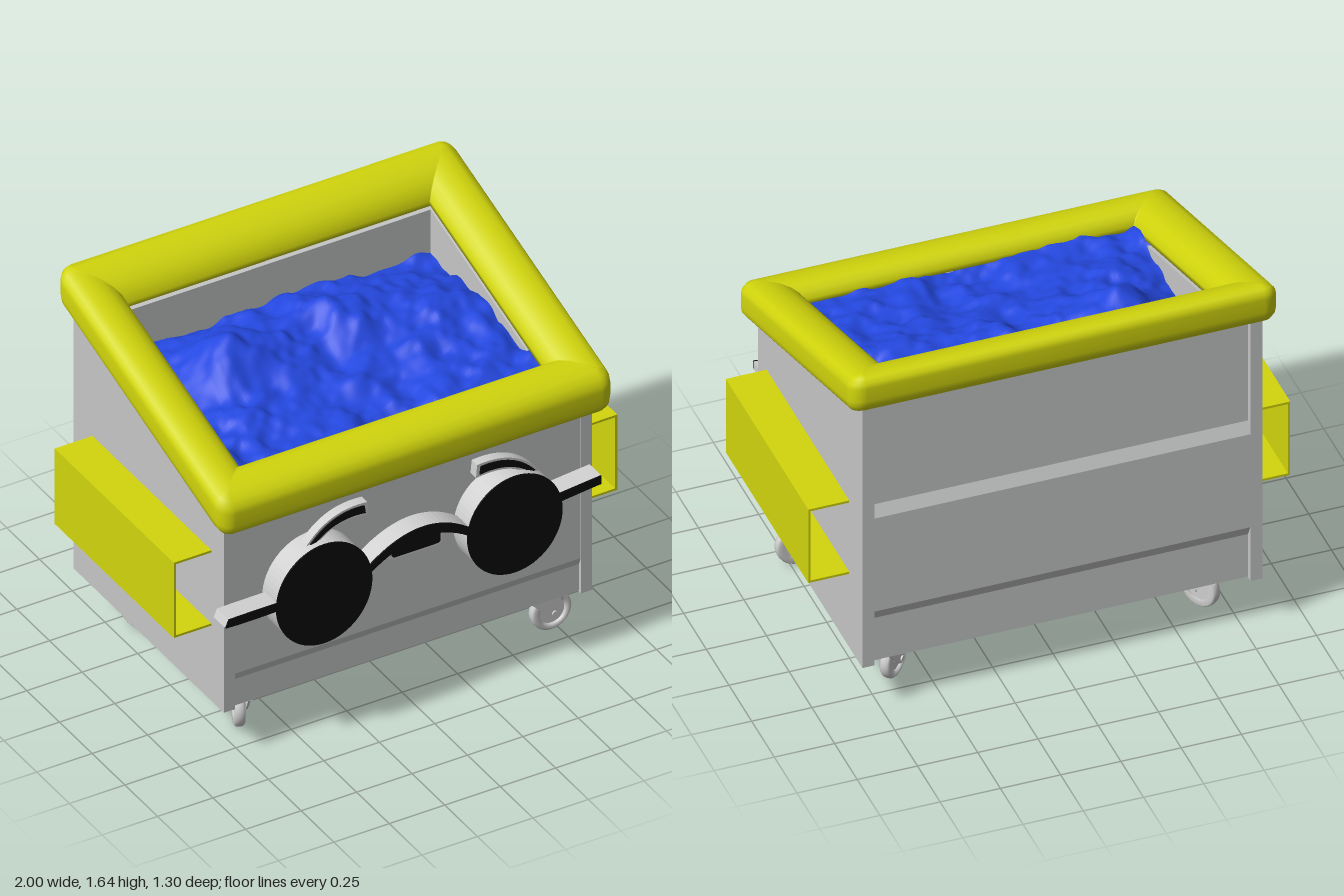
import * as THREE from 'three';

const mat = (name, color, side = THREE.FrontSide) => {
  const m = new THREE.MeshStandardMaterial({ color, side });
  m.name = name;
  return m;
};

// Height of the slanted opening at depth z
const slant = (z) => 1.368 - 0.309 * z;

// Extrude a [z, y] outline from x0 to x1
function extrudeX(points, x0, x1) {
  const shape = new THREE.Shape(points.map(([z, y]) => new THREE.Vector2(-z, y)));
  const g = new THREE.ExtrudeGeometry(shape, { depth: x1 - x0, bevelEnabled: false });
  return g.rotateY(Math.PI / 2).translate(x0, 0, 0);
}

// Extrude an [x, y] shape from z0 to z1
const extrudeZ = (shape, z0, z1) =>
  new THREE.ExtrudeGeometry(shape, { depth: z1 - z0, bevelEnabled: false, curveSegments: 20 }).translate(0, 0, z0);

// Curved band between an upper and a lower quadratic curve
function band(a, topMid, b, c, lowMid, d) {
  const s = new THREE.Shape();
  s.moveTo(...d);
  s.quadraticCurveTo(...lowMid, ...c);
  s.lineTo(...b);
  s.quadraticCurveTo(...topMid, ...a);
  s.closePath();
  return s;
}

function pill(x0, x1, y0, y1, r) {
  const s = new THREE.Shape();
  s.absarc(x1 - r, y0 + r, r, -Math.PI / 2, 0);
  s.absarc(x1 - r, y1 - r, r, 0, Math.PI / 2);
  s.absarc(x0 + r, y1 - r, r, Math.PI / 2, Math.PI);
  s.absarc(x0 + r, y0 + r, r, Math.PI, Math.PI * 1.5);
  return s;
}

// Padded rim: a rounded section carried round a rounded rectangle, sheared to the slant
function rimGeometry() {
  const section = [[0.05, -0.087], [0.02, -0.078], [0.004, -0.055], [0, -0.03], [0, 0.03], [0.004, 0.052],
    [0.02, 0.074], [0.05, 0.086], [0.09, 0.088], [0.13, 0.082], [0.165, 0.066], [0.19, 0.042], [0.205, 0.01],
    [0.205, -0.012], [0.1, -0.06]];
  const steps = 6, pos = [], idx = [], n = section.length, loops = 4 * (steps + 1);
  for (let c = 0; c < 4; c++) {
    for (let s = 0; s <= steps; s++) {
      const a = (c + s / steps) * Math.PI / 2;
      const sx = c === 0 || c === 3 ? 1 : -1, sz = c < 2 ? 1 : -1;
      for (const [d, h] of section) {
        const r = Math.max(0.065 - d, 0.004);
        const x = sx * (0.89 - d - r) + r * Math.cos(a);
        const z = -0.01 + sz * (0.64 - d - r) + r * Math.sin(a);
        pos.push(x, slant(z) + h, z);
      }
    }
  }
  for (let i = 0; i < loops; i++) {
    for (let j = 0; j < n; j++) {
      const i2 = (i + 1) % loops, j2 = (j + 1) % n;
      const a = i * n + j, p = i * n + j2, t = i2 * n + j, q = i2 * n + j2;
      idx.push(a, p, t, p, q, t);
    }
  }
  const g = new THREE.BufferGeometry();
  g.setAttribute('position', new THREE.Float32BufferAttribute(pos, 3));
  g.setIndex(idx);
  g.computeVertexNormals();
  return g;
}

// Smooth value noise
function noise(x, z) {
  const hash = (i, j) => { const v = Math.sin(i * 127.1 + j * 311.7) * 43758.5453; return v - Math.floor(v); };
  const i = Math.floor(x), j = Math.floor(z), ease = (t) => t * t * (3 - 2 * t);
  const u = ease(x - i), v = ease(z - j), mix = THREE.MathUtils.lerp;
  return mix(mix(hash(i, j), hash(i + 1, j), u), mix(hash(i, j + 1), hash(i + 1, j + 1), u), v) - 0.5;
}

// Lumpy heap filling the opening
function heapGeometry() {
  const g = new THREE.PlaneGeometry(1.4, 0.9, 100, 66).rotateX(-Math.PI / 2).translate(0, 0, -0.01);
  const p = g.attributes.position;
  const hill = (x, z, cx, cz, r) => Math.exp(-((x - cx) ** 2 + (z - cz) ** 2) / (r * r));
  for (let i = 0; i < p.count; i++) {
    const x = p.getX(i), z = p.getZ(i);
    let y = 1.25 - 0.06 * z;
    y += 0.17 * hill(x, z, -0.38, -0.16, 0.2) + 0.12 * hill(x, z, 0.12, -0.2, 0.22) + 0.08 * hill(x, z, 0.48, -0.15, 0.2);
    y += 0.06 * noise(x * 6, z * 6) + 0.04 * noise(x * 13 + 5, z * 13) + 0.016 * noise(x * 28, z * 28 + 9);
    p.setY(i, y);
  }
  g.computeVertexNormals();
  return g;
}

export function createModel() {
  const grey = mat('bodyGrey', 0xc6c7c7), light = mat('lightGrey', 0xd0d0d0);
  const yellow = mat('yellow', 0xd2d60c), blue = mat('blue', 0x2448e0, THREE.DoubleSide), black = mat('black', 0x0a0a0a);
  const model = new THREE.Group();
  model.name = 'wheeledBin';
  const add = (name, geometry, material, parent = model) => {
    const m = new THREE.Mesh(geometry, material);
    m.name = name;
    parent.add(m);
    return m;
  };
  const box = (w, h, d, x, y, z) => new THREE.BoxGeometry(w, h, d).translate(x, y, z);

  // Side walls: outer panel and inner liner
  const wall = (z0, z1, y0) => [[z0, y0], [z0, slant(z0) - 0.03], [z1, slant(z1) - 0.03], [z1, y0]];
  for (const s of [1, -1]) {
    add('sidePanel', extrudeX(wall(0.545, -0.605, 0.22), s > 0 ? 0.78 : -0.83, s > 0 ? 0.83 : -0.78), grey);
    add('sideLiner', extrudeX(wall(0.5, -0.55, 0.24), s > 0 ? 0.685 : -0.78, s > 0 ? 0.78 : -0.685), grey);
  }

  // Front and back walls with a pressed-out middle band
  add('frontPanel', extrudeX([[0.425, 0.225], [0.53, 0.225], [0.53, 0.35], [0.543, 0.385], [0.543, 1.05], [0.53, 1.08],
    [0.53, slant(0.53) - 0.03], [0.425, slant(0.425) - 0.03]], -0.78, 0.78), grey);
  add('backPanel', extrudeX([[-0.445, 0.225], [-0.58, 0.225], [-0.58, 0.43], [-0.605, 0.48], [-0.605, 0.93], [-0.58, 0.98],
    [-0.58, slant(-0.58) - 0.03], [-0.445, slant(-0.445) - 0.03]], -0.78, 0.78), grey);
  add('floor', box(1.56, 0.03, 1.1, 0, 0.245, -0.03), grey);

  add('rim', rimGeometry(), yellow);
  add('heap', heapGeometry(), blue);

  // Lifting sleeves, open at both ends
  for (const s of [1, -1]) {
    const sleeve = new THREE.Group();
    sleeve.name = s > 0 ? 'leftSleeve' : 'rightSleeve';
    model.add(sleeve);
    add('sleevePlate', box(0.01, 0.355, 0.91, s * 0.995, 0.7525, -0.005), yellow, sleeve);
    for (const y of [0.58, 0.925]) add('sleeveFlange', box(0.16, 0.01, 0.91, s * 0.91, y, -0.005), yellow, sleeve);
  }

  // Raised face details: grey body with a thin black front
  const face = new THREE.Group();
  face.name = 'face';
  model.add(face);
  const faced = (name, shape, z0, z1, cap = shape) => {
    add(name, extrudeZ(shape, z0, z1), light, face);
    add(name + 'Front', extrudeZ(cap, z1, z1 + 0.006), black, face);
  };
  const ellipse = (x, y, rx, ry) => new THREE.Shape(new THREE.EllipseCurve(x, y, rx, ry, 0, Math.PI * 2).getPoints(64).slice(0, -1));
  faced('rightLens', ellipse(-0.44, 0.708, 0.216, 0.232), 0.53, 0.647);
  faced('leftLens', ellipse(0.42, 0.735, 0.214, 0.226), 0.53, 0.647);
  faced('bridge', band([-0.25, 0.76], [0, 0.965], [0.23, 0.78], [0.23, 0.74], [0, 0.915], [-0.25, 0.72]), 0.56, 0.647);
  faced('rightArm', band([-0.87, 0.735], [-0.8, 0.737], [-0.64, 0.737], [-0.64, 0.7], [-0.8, 0.695], [-0.885, 0.7]), 0.56, 0.647);
  faced('leftArm', band([0.62, 0.81], [0.72, 0.82], [0.81, 0.828], [0.81, 0.79], [0.75, 0.785], [0.62, 0.77]), 0.56, 0.647);
  for (const s of [1, -1]) {
    const m = (x, y) => [s > 0 ? x : 0.045 - x, y];
    const outline = band(m(-0.505, 0.925), m(-0.4, 1.065), m(-0.225, 1.045), m(-0.22, 0.985), m(-0.38, 1.01), m(-0.455, 0.92));
    const inner = band(m(-0.485, 0.935), m(-0.39, 1.05), m(-0.24, 1.035), m(-0.235, 1.0), m(-0.37, 1.02), m(-0.465, 0.932));
    faced(s > 0 ? 'rightBrow' : 'leftBrow', outline, 0.574, 0.616, inner);
  }
  faced('mouth', pill(-0.093, 0.15, 0.682, 0.768, 0.02), 0.53, 0.554, pill(-0.08, 0.138, 0.695, 0.752, 0.012));

  // Swivel casters: [pivot x, pivot z, turn]
  const fork = new THREE.Shape([[-0.08, 0.2], [0.09, 0.2], [0.085, 0.08], [0.06, 0.065], [0.035, 0.08]]
    .map(([x, y]) => new THREE.Vector2(x, y)));
  for (const [x, z, turn] of [[0.66, 0.41, 0], [-0.68, 0.41, 65], [0.67, -0.45, 225], [-0.68, -0.45, -60]]) {
    const caster = new THREE.Group();
    caster.name = 'caster';
    caster.position.set(x, 0, z);
    caster.rotation.y = THREE.MathUtils.degToRad(turn);
    model.add(caster);
    add('casterPlate', box(0.17, 0.02, 0.09, 0, 0.21, 0), light, caster);
    for (const s of [1, -1]) add('casterFork', extrudeZ(fork, s * 0.032 - 0.004, s * 0.032 + 0.004), light, caster);
    // Rounded tread with recessed web
    const tread = [[0.058, -0.02], [0.08, -0.022], [0.088, -0.014], [0.09, 0], [0.088, 0.014], [0.08, 0.022], [0.058, 0.02], [0.058, -0.02]]
      .map(([r, h]) => new THREE.Vector2(r, h));
    const place = (g) => g.rotateX(Math.PI / 2).translate(0.06, 0.09, 0);
    add('wheelTread', place(new THREE.LatheGeometry(tread, 32)), light, caster);
    add('wheelWeb', place(new THREE.CylinderGeometry(0.06, 0.06, 0.022, 32)), light, caster);
    add('wheelHub', place(new THREE.CylinderGeometry(0.024, 0.024, 0.05, 20)), light, caster);
    add('axle', place(new THREE.CylinderGeometry(0.012, 0.012, 0.086, 12)), light, caster);
  }
  return model;
}
